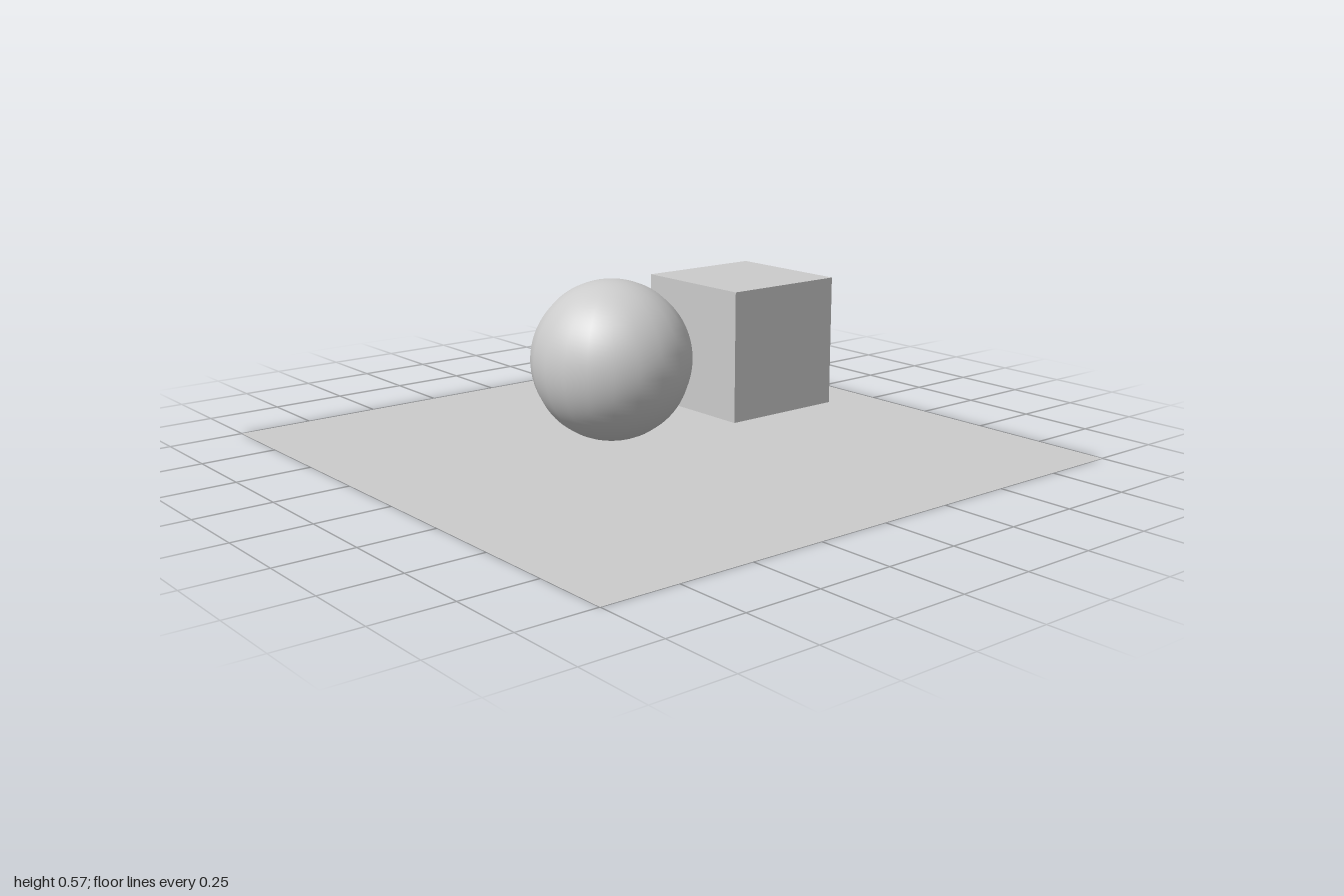
import * as THREE from 'three';

export function createModel() {
  const model = new THREE.Group();
  const grey = new THREE.MeshStandardMaterial({ color: 0xcccccc });
  const sheet = new THREE.MeshStandardMaterial({ color: 0xcccccc, side: THREE.DoubleSide });

  const add = (name, geometry, material, x, y, z) => {
    const mesh = new THREE.Mesh(geometry, material);
    mesh.name = name;
    mesh.position.set(x, y, z);
    model.add(mesh);
  };

  // thin square floor
  add('floor', new THREE.PlaneGeometry(2, 2).rotateX(-Math.PI / 2), sheet, 0, 0, 0);

  // floating ball and cube, side by side
  add('ball', new THREE.SphereGeometry(0.256, 20, 50), grey, -0.198, 0.318, 0);
  add('cube', new THREE.BoxGeometry(0.426, 0.426, 0.426), grey, 0.346, 0.312, 0);

  return model;
}
